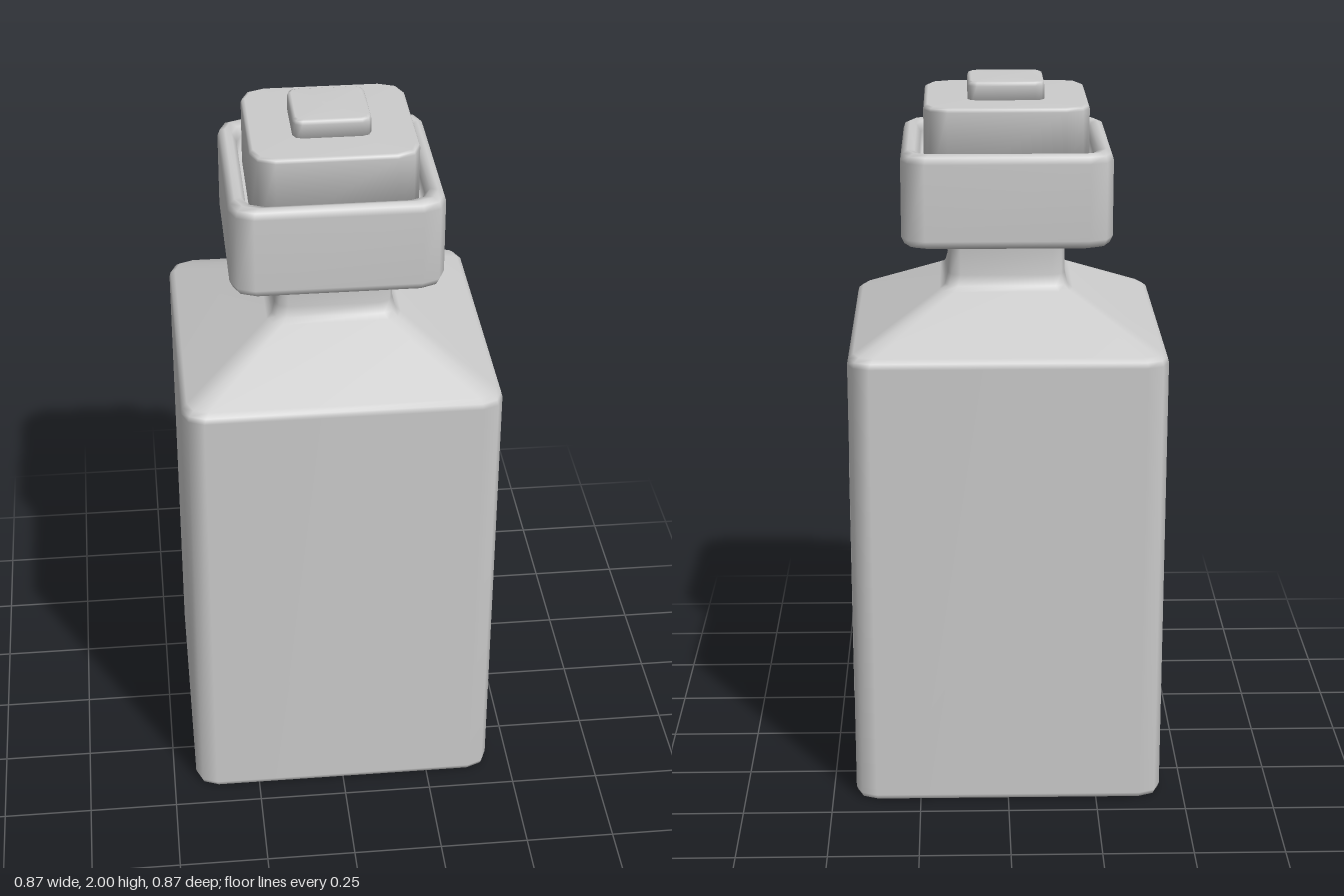
import * as THREE from 'three';

const grey = new THREE.MeshStandardMaterial({ color: 0xcccccc });
const labelGrey = new THREE.MeshStandardMaterial({ color: 0xadadad });

// Square outline with chamfered-round corners, as [x, z] points
function squareRing(half, radius) {
  const points = [];
  for (let corner = 0; corner < 4; corner++) {
    const mid = Math.PI / 4 + corner * Math.PI / 2;
    const cx = Math.sign(Math.cos(mid)) * (half - radius);
    const cz = Math.sign(Math.sin(mid)) * (half - radius);
    for (let i = -1; i <= 1; i++) {
      const a = mid + i * Math.PI / 4;
      points.push([cx + radius * Math.cos(a), cz + radius * Math.sin(a)]);
    }
  }
  return points;
}

// Closed loft through rows of [halfWidth, y, cornerRadius]
function squareLoft(name, rows) {
  const n = 12, positions = [], index = [];
  for (const [half, y, radius] of rows) {
    for (const [x, z] of squareRing(half, radius)) positions.push(x, y, z);
  }
  for (let r = 0; r < rows.length - 1; r++) {
    for (let i = 0; i < n; i++) {
      const a = r * n + i, b = r * n + (i + 1) % n;
      index.push(a, a + n, b, b, a + n, b + n);
    }
  }
  const bottom = rows.length * n, top = bottom + 1, last = bottom - n;
  positions.push(0, rows[0][1], 0, 0, rows[rows.length - 1][1], 0);
  for (let i = 0; i < n; i++) {
    const j = (i + 1) % n;
    index.push(bottom, i, j, top, last + j, last + i);
  }
  const geometry = new THREE.BufferGeometry();
  geometry.setAttribute('position', new THREE.Float32BufferAttribute(positions, 3));
  geometry.setIndex(index);
  geometry.computeVertexNormals();
  const mesh = new THREE.Mesh(geometry, grey);
  mesh.name = name;
  return mesh;
}

export function createModel() {
  const model = new THREE.Group();
  model.name = 'bottle';

  // Square body, sloping shoulders and flared neck
  model.add(squareLoft('body', [
    [0.42, 0, 0.055], [0.431, 0.005, 0.06], [0.435, 0.018, 0.06],
    [0.435, 1.285, 0.06], [0.431, 1.3, 0.06], [0.418, 1.311, 0.055],
    [0.185, 1.432, 0.04], [0.17, 1.445, 0.035], [0.162, 1.475, 0.035],
    [0.162, 1.55, 0.035], [0.166, 1.565, 0.035], [0.178, 1.58, 0.035],
  ]));

  // Collar with a rounded rim and a recess for the stopper
  model.add(squareLoft('collar', [
    [0.265, 1.575, 0.055], [0.28, 1.581, 0.062], [0.288, 1.6, 0.065],
    [0.288, 1.81, 0.065], [0.282, 1.828, 0.062], [0.268, 1.836, 0.06],
    [0.25, 1.83, 0.06], [0.238, 1.81, 0.06], [0.235, 1.76, 0.06],
  ]));

  // Stopper seated in the collar
  model.add(squareLoft('stopper', [
    [0.225, 1.74, 0.065], [0.225, 1.938, 0.065],
    [0.222, 1.946, 0.063], [0.214, 1.95, 0.058],
  ]));

  // Small raised button on top
  model.add(squareLoft('topButton', [
    [0.105, 1.93, 0.025], [0.105, 1.988, 0.025],
    [0.102, 1.997, 0.023], [0.095, 2, 0.02],
  ]));

  // Flat label on the left side
  const label = new THREE.Mesh(new THREE.PlaneGeometry(0.71, 0.71), labelGrey);
  label.name = 'label';
  label.material.side = THREE.DoubleSide;
  label.rotation.y = Math.PI / 2;
  label.position.set(0.437, 0.647, 0);
  model.add(label);

  return model;
}
